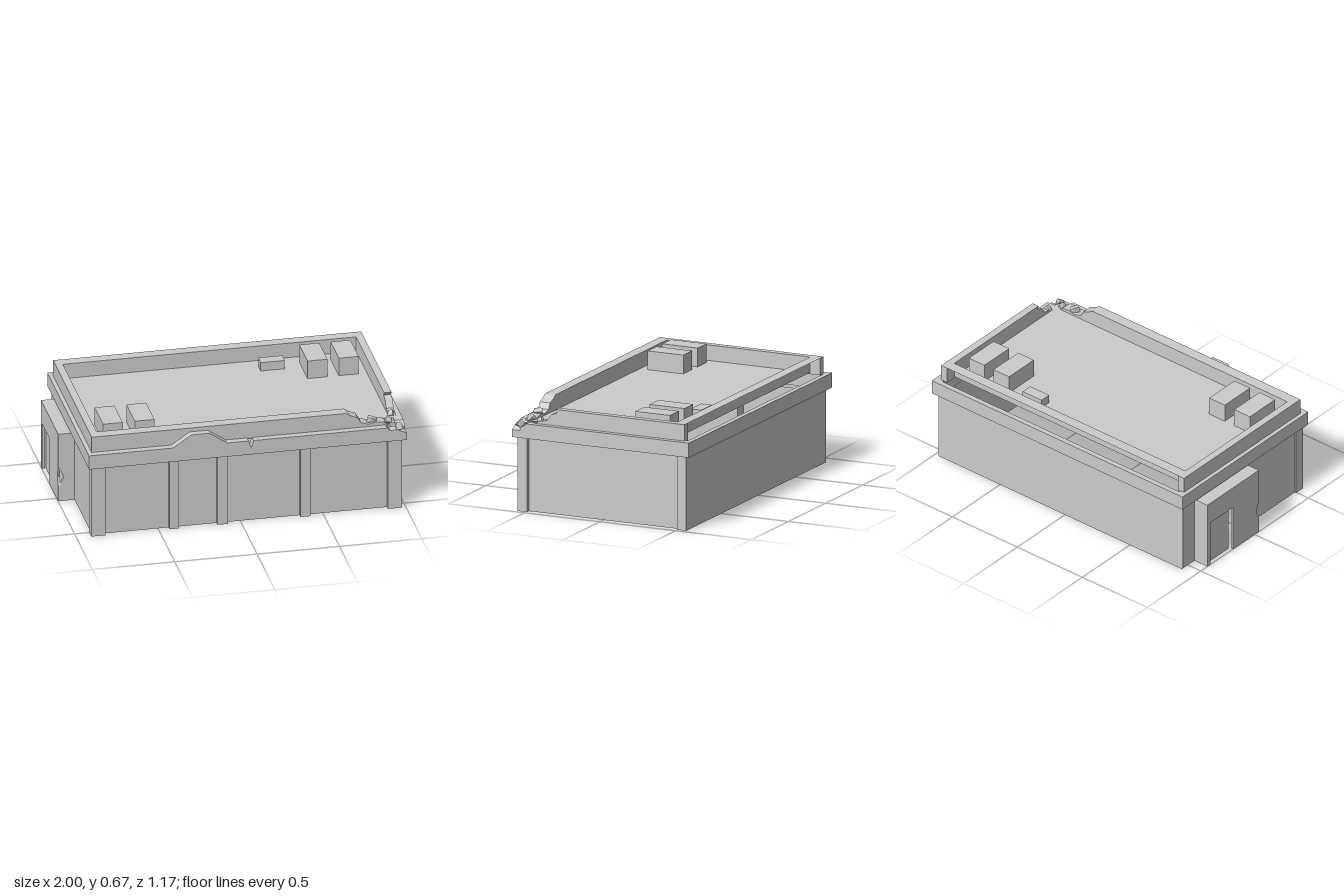
import * as THREE from 'three';

const mat = new THREE.MeshStandardMaterial({ color: 0xcccccc, flatShading: true, side: THREE.DoubleSide });

export function createModel() {
  const model = new THREE.Group();

  const add = (name, geo) => {
    const mesh = new THREE.Mesh(geo, mat);
    mesh.name = name;
    model.add(mesh);
    return mesh;
  };
  // Box given by its two extreme corners; a zero size makes a thin sheet
  const box = (name, x0, x1, y0, y1, z0, z1) => {
    let geo;
    if (x0 === x1) geo = new THREE.PlaneGeometry(z1 - z0, y1 - y0).rotateY(Math.PI / 2);
    else if (y0 === y1) geo = new THREE.PlaneGeometry(x1 - x0, z1 - z0).rotateX(-Math.PI / 2);
    else if (z0 === z1) geo = new THREE.PlaneGeometry(x1 - x0, y1 - y0);
    else geo = new THREE.BoxGeometry(x1 - x0, y1 - y0, z1 - z0);
    add(name, geo).position.set((x0 + x1) / 2, (y0 + y1) / 2, (z0 + z1) / 2);
  };
  const extrude = (pts, depth) => new THREE.ExtrudeGeometry(
    new THREE.Shape(pts.map(p => new THREE.Vector2(...p))), { depth, bevelEnabled: false });
  // Outline in x,y running from z0 to z1
  const alongZ = (name, pts, z0, z1) => { add(name, extrude(pts, z1 - z0)).position.z = z0; };
  // Outline in z,y running from x0 to x1
  const alongX = (name, pts, x0, x1) => {
    add(name, extrude(pts, x1 - x0).rotateY(-Math.PI / 2)).position.x = x1;
  };

  // Walls, with a gap on the left end behind the entrance annex
  const wallTop = 0.46;
  box('frontWall', -0.885, 0.95, 0, wallTop, 0.53, 0.53);
  box('backWall', -0.91, 0.975, 0, wallTop, -0.557, -0.557);
  box('endWall', 0.95, 0.95, 0, wallTop, -0.555, 0.53);
  box('annexEndWallFront', -0.9, -0.9, 0, wallTop, 0.04, 0.53);
  box('annexEndWallBack', -0.9, -0.9, 0, wallTop, -0.555, -0.44);
  box('annexEndWallHeader', -0.9, -0.9, 0.44, wallTop, -0.44, 0.04);

  // Pilasters on the front, corner posts wrapping round the ends
  for (const [a, b] of [[-0.435, -0.38], [-0.145, -0.08], [0.36, 0.42]])
    box('frontPilaster', a, b, 0, wallTop, 0.525, 0.557);
  box('cornerPost', -0.91, -0.825, 0, wallTop, 0.495, 0.557);
  box('cornerPost', 0.89, 0.975, 0, wallTop, 0.495, 0.557);
  box('cornerPost', 0.945, 0.975, 0, wallTop, -0.555, -0.5);

  // Cornice: raised pediment, small crack and a chipped corner
  alongZ('frontCornice', [
    [-0.93, 0.455], [1, 0.455], [1, 0.5], [0.965, 0.515], [0.94, 0.53], [0.9, 0.525], [0.88, 0.545],
    [0.07, 0.545], [0.055, 0.5], [0.04, 0.545],
    [-0.09, 0.545], [-0.2, 0.62], [-0.31, 0.62], [-0.42, 0.545], [-0.93, 0.545],
  ], 0.53, 0.583);
  alongX('endCornice', [
    [-0.587, 0.455], [0.53, 0.455], [0.53, 0.52], [0.505, 0.53], [0.49, 0.545], [-0.587, 0.545],
  ], 0.945, 1);
  box('annexEndCornice', -0.93, -0.88, 0.455, 0.545, -0.587, 0.53);
  box('backCornice', -0.93, 1, 0.455, 0.545, -0.587, -0.555);

  // Roof deck
  box('roofDeck', -0.88, 0.94, 0.55, 0.55, -0.475, 0.53);

  // Parapet, broken away at the front corner; the back run is hollow behind
  alongZ('frontParapet', [
    [-0.905, 0.54], [0.9, 0.54], [0.87, 0.565], [0.82, 0.57], [0.78, 0.56], [0.73, 0.575],
    [0.71, 0.61], [0.67, 0.625], [0.64, 0.645], [-0.905, 0.645],
  ], 0.472, 0.54);
  alongX('endParapet', [
    [-0.542, 0.54], [0.46, 0.54], [0.42, 0.56], [0.37, 0.57], [0.34, 0.61], [0.3, 0.625],
    [0.31, 0.645], [-0.542, 0.645],
  ], 0.92, 0.965);
  box('annexEndParapet', -0.905, -0.86, 0.54, 0.645, -0.542, 0.472);
  box('backParapetFace', -0.86, 0.92, 0.55, 0.645, -0.475, -0.475);
  box('backParapetTop', -0.86, 0.92, 0.645, 0.645, -0.542, -0.475);

  // Broken masonry at the damaged corner
  for (const [x, y, z, r] of [[0.8, 0.57, 0.505, 0.035], [0.9, 0.555, 0.5, 0.03],
    [0.955, 0.53, 0.55, 0.03], [0.94, 0.56, 0.42, 0.025]]) {
    const chunk = add('rubble', new THREE.TetrahedronGeometry(r, 1));
    chunk.position.set(x, y, z);
    chunk.rotation.set(x * 9, z * 7, x * 4);
  }

  // Rooftop units
  for (const x of [-0.81, -0.617]) box('rooftopUnit', x, x + 0.12, 0.55, 0.665, 0.185, 0.42);
  for (const x of [0.56, 0.75]) box('rooftopUnit', x, x + 0.12, 0.55, 0.665, -0.4, -0.17);
  box('rooftopVent', 0.31, 0.455, 0.55, 0.605, -0.4, -0.33);

  // Entrance annex with a recessed door and a chipped front edge
  alongX('annexFace', [
    [-0.44, 0], [-0.41, 0], [-0.41, 0.3], [-0.2, 0.3], [-0.2, 0],
    [0.04, 0], [0.04, 0.1], [0.015, 0.15], [0.04, 0.22], [0.04, 0.44], [-0.44, 0.44],
  ], -1, -0.985);
  alongZ('annexFrontSide', [
    [-0.985, 0], [-0.9, 0], [-0.9, 0.44], [-0.985, 0.44], [-0.985, 0.2], [-0.965, 0.15], [-0.985, 0.12],
  ], 0.025, 0.04);
  box('annexBackSide', -0.985, -0.9, 0, 0.44, -0.44, -0.425);
  box('annexRoof', -0.985, -0.9, 0.43, 0.44, -0.425, 0.025);
  box('annexDoor', -0.975, -0.965, 0, 0.3, -0.41, -0.215);

  return model;
}
